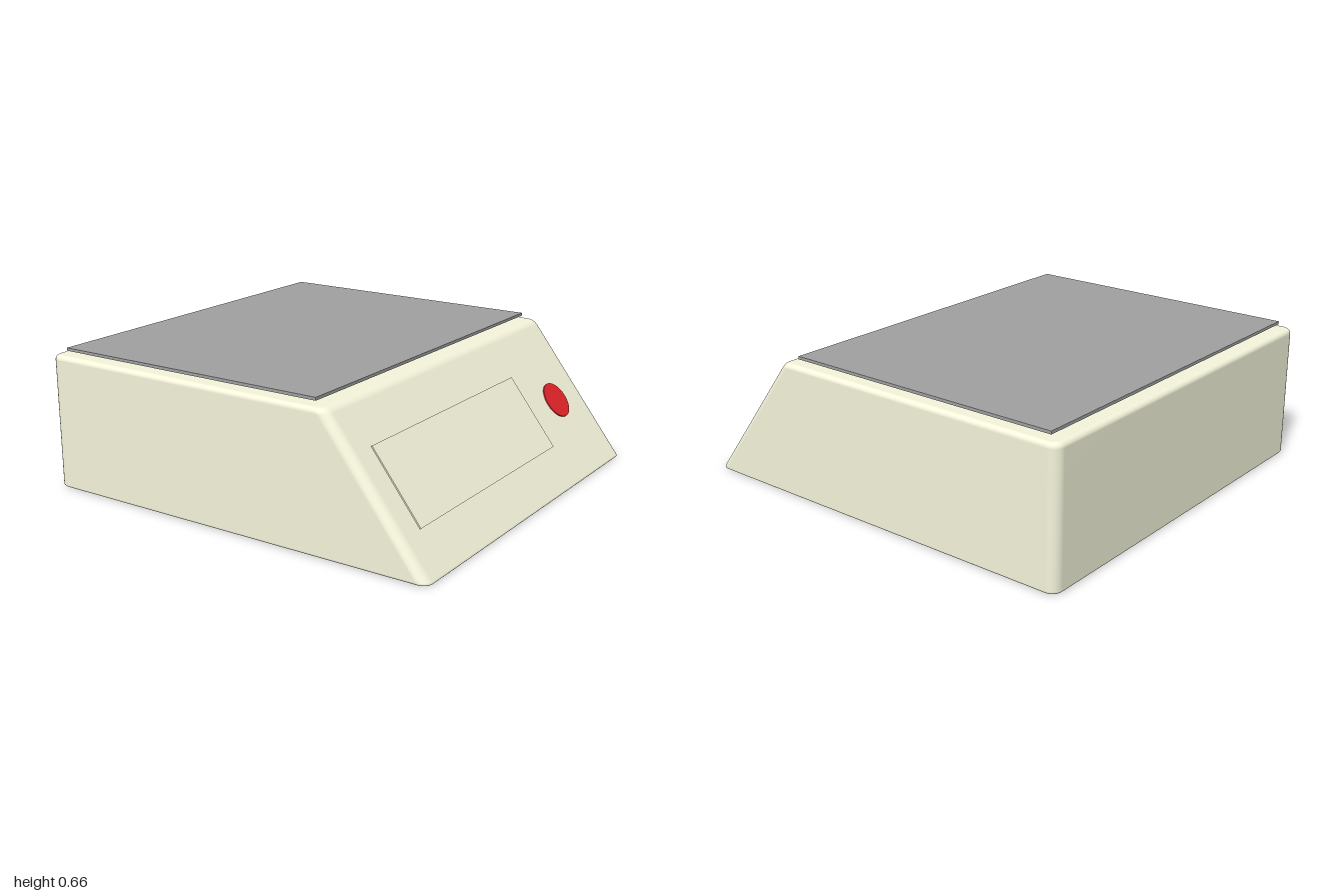
import * as THREE from 'three';

const TOP = 0.633;                 // height of the housing
const CREST = 0.51;                // x where the slope meets the top
const HALF_Z = 0.94;
const TILT = Math.atan2(TOP, 1 - CREST);

const material = (color) => new THREE.MeshStandardMaterial({ color, roughness: 0.8 });

function addMesh(parent, name, geometry, mat, x, y, z) {
  const mesh = new THREE.Mesh(geometry, mat);
  mesh.name = name;
  mesh.position.set(x, y, z);
  parent.add(mesh);
  return mesh;
}

// Horizontal rounded rectangle, anticlockwise seen from above
function ring(y, xl, xr, hz, r) {
  const pts = [], steps = 6;
  const corners = [[xr - r, hz - r], [xr - r, r - hz], [xl + r, r - hz], [xl + r, hz - r]];
  corners.forEach(([cx, cz], i) => {
    for (let s = 0; s <= steps; s++) {
      const a = (i - 1 + s / steps) * Math.PI / 2;
      pts.push([cx + r * Math.cos(a), y, cz - r * Math.sin(a)]);
    }
  });
  return pts;
}

// Wedge housing lofted from rounded rectangles, with softened edges
function housingGeometry() {
  const rings = [], steps = 6, bottomR = 0.012, crestR = 0.06, cornerR = 0.05;
  const slopeX = (y) => 1 - y / Math.tan(TILT);
  for (let s = 0; s <= steps; s++) {
    const a = (s / steps) * Math.PI / 2;
    const y = bottomR * (1 - Math.cos(a)), inset = bottomR * (1 - Math.sin(a));
    rings.push(ring(y, -1 + inset, slopeX(y) - inset, HALF_Z - inset, cornerR - inset));
  }
  // crest fillet on the slope, smaller rounding on the other three sides
  const cx = CREST - crestR * Math.tan(TILT / 2);
  const drop = crestR * (1 - Math.cos(TILT));
  for (let s = 0; s <= steps; s++) {
    const phi = TILT * (1 - s / steps);
    const y = TOP - crestR * (1 - Math.cos(phi));
    const rise = Math.min(1, Math.max(0, (y - TOP + drop) / drop));
    const inset = drop * (1 - Math.sqrt(1 - rise * rise));
    rings.push(ring(y, -1 + inset, cx + crestR * Math.sin(phi), HALF_Z - inset, cornerR - inset));
  }
  const n = rings[0].length, index = [], last = (rings.length - 1) * n;
  for (let j = 0; j < rings.length - 1; j++) {
    for (let i = 0; i < n; i++) {
      const a = j * n + i, b = j * n + (i + 1) % n;
      index.push(a, b, b + n, a, b + n, a + n);
    }
  }
  // flat bottom and top
  const c = rings.length * n;
  for (let i = 0; i < n; i++) {
    const k = (i + 1) % n;
    index.push(c, k, i, c + 1, last + i, last + k);
  }
  const points = [...rings.flat(), [0, 0, 0], [-0.25, TOP, 0]];
  const g = new THREE.BufferGeometry();
  g.setAttribute('position', new THREE.Float32BufferAttribute(points.flat(), 3));
  g.setIndex(index);
  g.computeVertexNormals();
  return g;
}

export function createModel() {
  const model = new THREE.Group();
  model.name = 'weighingScale';
  const cream = material(0xf5f5dc), grey = material(0xa0a0a0), red = material(0xe32428);

  addMesh(model, 'housing', housingGeometry(), cream, 0, 0, 0);

  // Weighing plate on its short post
  addMesh(model, 'platePost', new THREE.BoxGeometry(0.15, 0.03, 0.19), grey, -0.245, 0.639, 0);
  addMesh(model, 'weighingPlate', new THREE.BoxGeometry(1.385, 0.014, 1.79), grey, -0.247, 0.656, 0);

  // Controls lie in the sloping face: local y points out of it
  const controls = new THREE.Group();
  controls.name = 'controlFace';
  controls.position.set((1 + CREST) / 2, TOP / 2, 0);
  controls.rotation.z = -TILT;
  model.add(controls);
  addMesh(controls, 'displayPanel', new THREE.BoxGeometry(0.38, 0.012, 1.2), cream, 0, 0, 0.19);
  addMesh(controls, 'button', new THREE.CylinderGeometry(0.09, 0.09, 0.012, 48), red, 0.005, 0, -0.667);

  return model;
}
